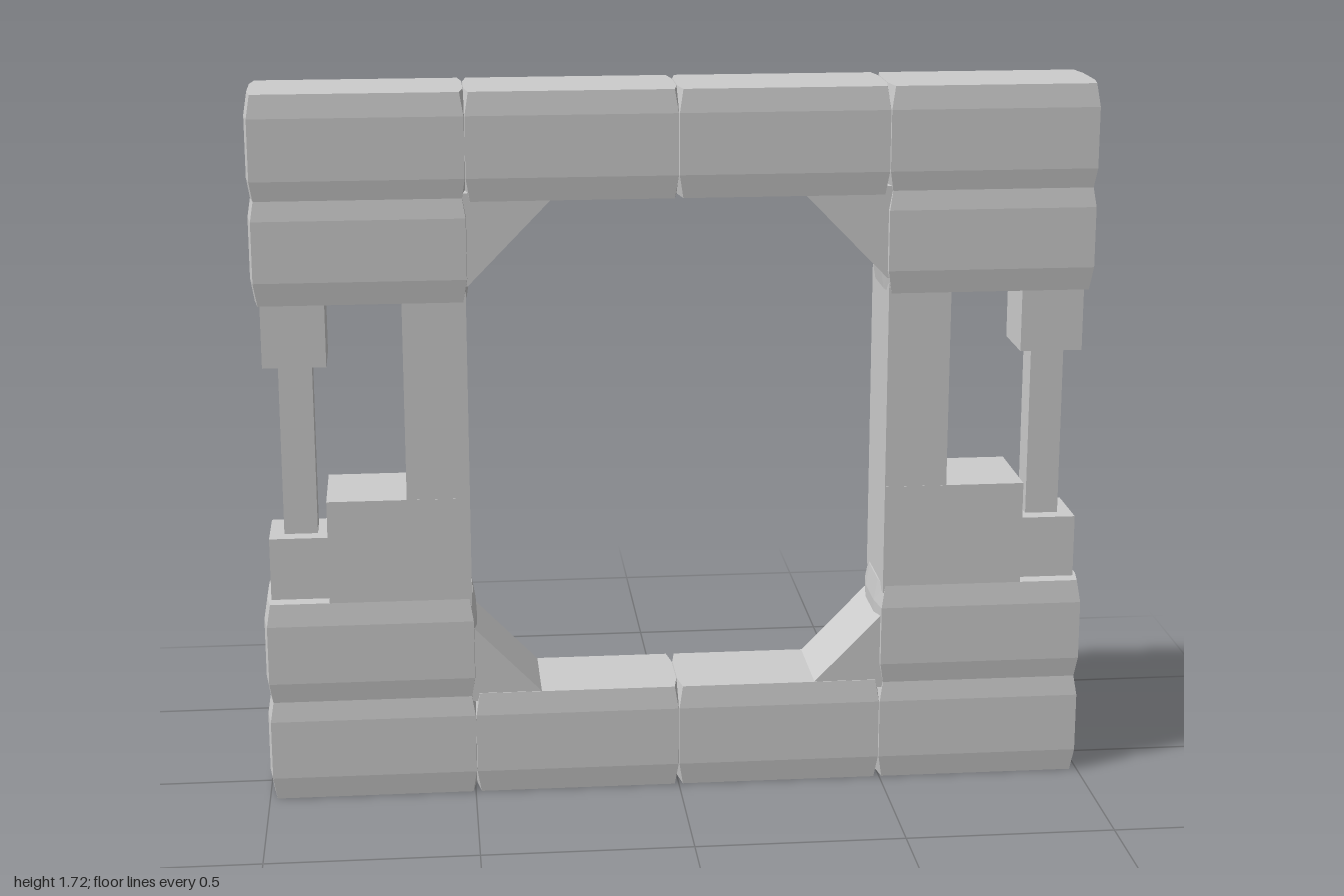
import * as THREE from 'three';

const material = new THREE.MeshStandardMaterial({ color: 0xcccccc, flatShading: true });

// Stone block whose sides swell outward between bevelled edges
function stoneGeometry(height = 0.255) {
  const geometry = new THREE.BoxGeometry(1, 1, 1, 1, 3, 3);
  const p = geometry.attributes.position;
  for (let i = 0; i < p.count; i++) {
    const edgeY = Math.abs(p.getY(i)) > 0.4;
    const edgeZ = Math.abs(p.getZ(i)) > 0.4;
    const halfX = edgeY && edgeZ ? 0.238 : edgeY || edgeZ ? 0.247 : 0.256;
    const halfZ = edgeZ ? (edgeY ? 0.118 : 0.125) : 0.06;
    const halfY = edgeY ? height / 2 : height / 2 - 0.055;
    p.setXYZ(i, Math.sign(p.getX(i)) * halfX, Math.sign(p.getY(i)) * halfY, Math.sign(p.getZ(i)) * halfZ);
  }
  geometry.computeVertexNormals();
  return geometry;
}

// Triangular corner brace; dir is +1 for the sill and -1 for the lintel
function braceGeometry(side, y, dir, reach, rise) {
  const shape = new THREE.Shape([
    new THREE.Vector2(side * 0.51, y - dir * 0.02),
    new THREE.Vector2(side * reach, y - dir * 0.02),
    new THREE.Vector2(side * reach, y),
    new THREE.Vector2(side * 0.495, y + dir * rise),
    new THREE.Vector2(side * 0.51, y + dir * rise),
  ]);
  return new THREE.ExtrudeGeometry(shape, { depth: 0.232, bevelEnabled: false }).translate(0, 0, -0.116);
}

export function createModel() {
  const model = new THREE.Group();
  const add = (name, geometry, x = 0, y = 0) => {
    const mesh = new THREE.Mesh(geometry, material);
    mesh.name = name;
    mesh.position.set(x, y, 0);
    model.add(mesh);
  };
  // Box from its x and y limits, mirrored by side
  const box = (name, side, x0, x1, y0, y1, depth) =>
    add(name, new THREE.BoxGeometry(x1 - x0, y1 - y0, depth), side * (x0 + x1) / 2, (y0 + y1) / 2);

  // Sill and lintel courses, four stones each
  const stone = stoneGeometry();
  for (const x of [-0.744, -0.248, 0.248, 0.744]) {
    add('sillStone', stone, x, 0.1275);
    add('lintelStone', stone, x, 1.5925);
  }

  for (const side of [-1, 1]) {
    const label = side > 0 ? 'left' : 'right';

    // Inner stone courses at the corners
    add(label + 'LowerCornerStone', stone, side * 0.744, 0.37);
    add(label + 'UpperCornerStone', stone, side * 0.744, 1.355);

    // Jamb post and its stepped plinth
    box(label + 'Post', side, 0.5, 0.65, 0.48, 1.25, 0.235);
    box(label + 'Plinth', side, 0.5, 0.84, 0.48, 0.75, 0.236);

    // Slim outer column
    box(label + 'ColumnBase', side, 0.84, 0.98, 0.48, 0.65, 0.16);
    box(label + 'ColumnShaft', side, 0.865, 0.945, 0.64, 1.08, 0.08);
    box(label + 'ColumnCap', side, 0.83, 0.98, 1.07, 1.25, 0.16);

    // Diagonal braces in the opening
    add(label + 'LowerBrace', braceGeometry(side, 0.255, 1, 0.335, 0.165));
    add(label + 'UpperBrace', braceGeometry(side, 1.465, -1, 0.3, 0.2));
  }
  return model;
}
